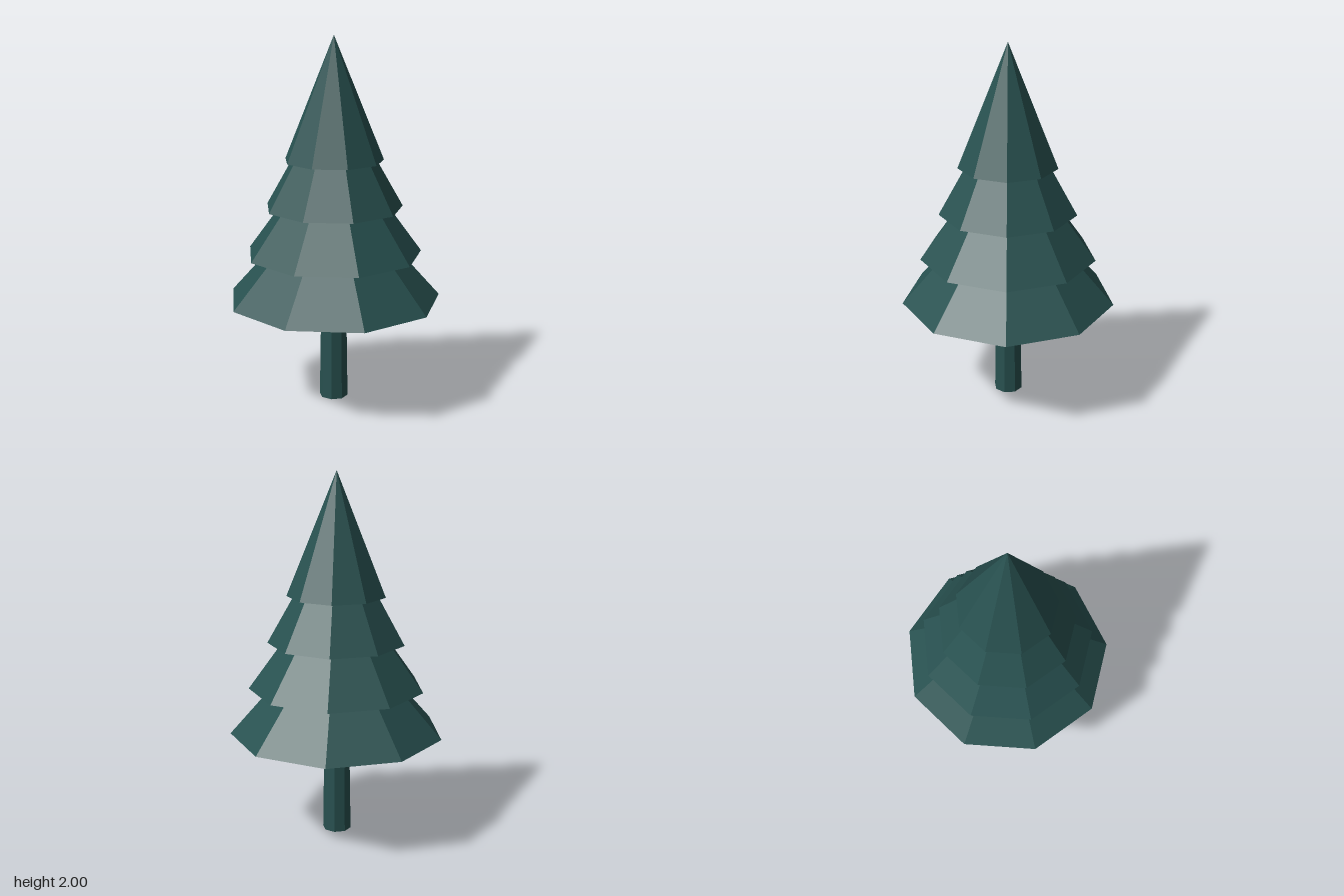
import * as THREE from 'three';

export function createModel() {
  const tree = new THREE.Group();
  tree.name = 'pineTree';

  const darkGreen = new THREE.MeshStandardMaterial({ color: 0x285150, flatShading: true });
  darkGreen.name = 'dark green';

  const axisZ = 0.018; // the nine-sided outline is centred, so its axis sits slightly forward

  const addPart = (name, geometry, baseY, height) => {
    const mesh = new THREE.Mesh(geometry, darkGreen);
    mesh.name = name;
    mesh.position.set(0, baseY + height / 2, axisZ);
    tree.add(mesh);
  };

  // Tapered octagonal trunk, reaching just inside the lowest tier
  const trunkHeight = 0.62;
  addPart('trunk', new THREE.CylinderGeometry(0.069, 0.079, trunkHeight, 8), 0, trunkHeight);

  // Four overlapping nine-sided cones, narrowing upwards, one corner at the back
  const tierHeight = 0.66;
  for (let i = 0; i < 4; i++) {
    const cone = new THREE.ConeGeometry(0.586 - i * 0.1055, tierHeight, 9, 1, false, Math.PI);
    addPart(`foliageTier${i + 1}`, cone, 0.575 + i * 0.255, tierHeight);
  }

  return tree;
}
